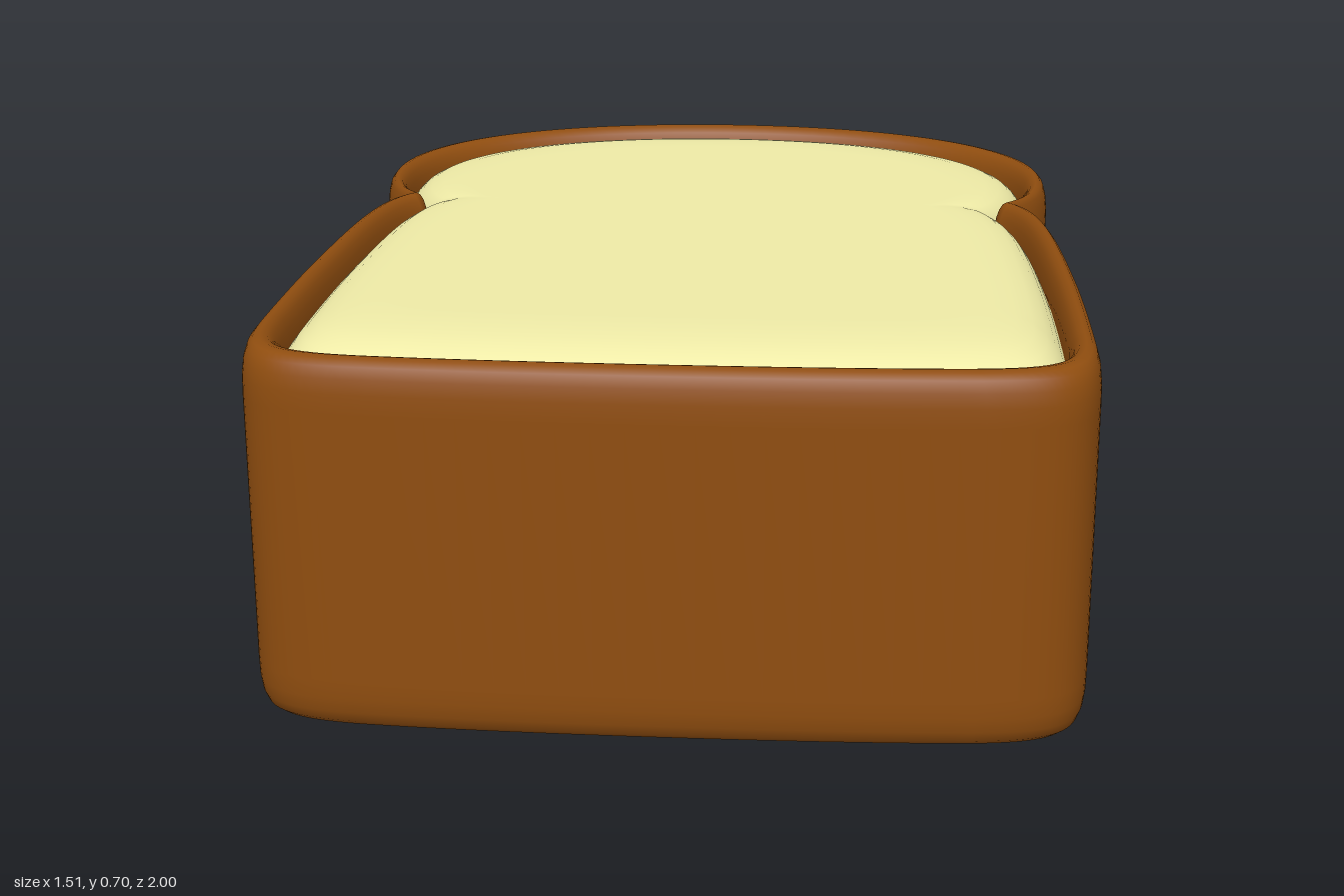
import * as THREE from 'three';

const V = (x, z) => new THREE.Vector2(x, z);

// Closed slice outline (x, z): one half from the back middle to the front middle, then mirrored
function sliceOutline() {
  const curves = [
    [V(0, -1), V(0.42, -1), V(0.74, -0.8), V(0.735, -0.46), 28],
    [V(0.735, -0.46), V(0.735, -0.36), V(0.71, -0.28), V(0.66, -0.23), 12],
    [V(0.66, -0.23), V(0.725, -0.16), V(0.735, 0.05), V(0.75, 0.4), 20],
    [V(0.75, 0.4), V(0.753, 0.5), V(0.755, 0.62), V(0.755, 0.75), 6],
    [V(0.755, 0.75), V(0.755, 0.93), V(0.72, 0.97), V(0.55, 0.985), 20],
    [V(0.55, 0.985), V(0.4, 0.996), V(0.2, 1), V(0, 1), 10],
  ];
  const half = [];
  for (const [a, b, c, d, n] of curves) {
    half.push(...new THREE.CubicBezierCurve(a, b, c, d).getPoints(n).slice(0, -1));
  }
  const mirrored = half.slice(1).reverse().map((p) => V(-p.x, p.y));
  return [...half, V(0, 1), ...mirrored];
}

// Sweep a profile of [outline scale, height] around the outline
function loft(outline, profile, closed) {
  const n = outline.length;
  const positions = [];
  const index = [];
  for (const [s, y] of profile) {
    for (const p of outline) positions.push(p.x * s, y, p.y * s);
  }
  const rows = closed ? profile.length : profile.length - 1;
  for (let r = 0; r < rows; r++) {
    const next = (r + 1) % profile.length;
    for (let i = 0; i < n; i++) {
      const j = (i + 1) % n;
      const a = r * n + i, b = r * n + j, c = next * n + i, d = next * n + j;
      if (profile[next][0] > 0) index.push(a, c, d);
      if (profile[r][0] > 0) index.push(a, d, b);
    }
  }
  const geometry = new THREE.BufferGeometry();
  geometry.setAttribute('position', new THREE.Float32BufferAttribute(positions, 3));
  geometry.setIndex(index);
  geometry.computeVertexNormals();
  return geometry;
}

// Mirror an upper profile about mid-height, so top and bottom match
const HEIGHT = 0.7;
const lower = (upper) => upper.map(([s, y]) => [s, HEIGHT - y]).reverse();

export function createModel() {
  const group = new THREE.Group();
  group.name = 'breadSlice';
  const outline = sliceOutline();

  const addPart = (name, geometry, color) => {
    const mesh = new THREE.Mesh(geometry, new THREE.MeshStandardMaterial({ color }));
    mesh.name = name;
    group.add(mesh);
  };

  // Crust: a band with rounded rims, standing around the crumb
  const rim = [
    [1, 0.6], [0.999, 0.635], [0.995, 0.662], [0.987, 0.682], [0.976, 0.692], [0.963, 0.695],
    [0.949, 0.691], [0.938, 0.68], [0.929, 0.662], [0.924, 0.635], [0.922, 0.6],
  ];
  addPart('crust', loft(outline, [...rim, ...lower(rim)], true), 0x8f4d0f);

  // Crumb: flat in the middle, sinking softly towards the crust
  const face = [
    [0.935, 0.6], [0.928, 0.625], [0.915, 0.643], [0.9, 0.658], [0.88, 0.672], [0.85, 0.685],
    [0.81, 0.693], [0.76, 0.698], [0.7, 0.7], [0.4, 0.7], [0, 0.7],
  ];
  addPart('crumb', loft(outline, [...lower(face), ...face], false), 0xeeeaa6);

  return group;
}
